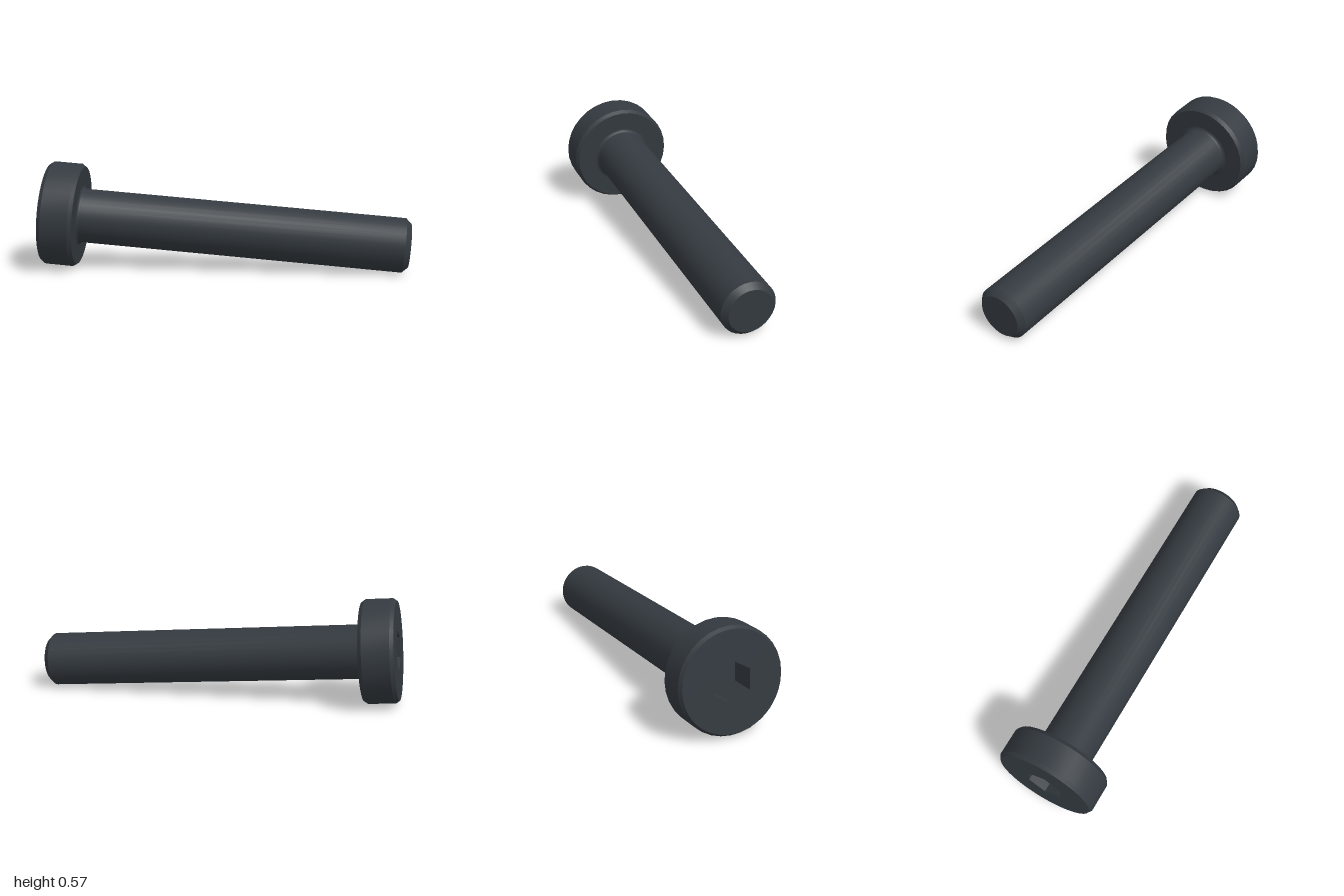
import * as THREE from 'three';
import { toCreasedNormals } from 'three/addons/utils/BufferGeometryUtils.js';

const SEGMENTS = 32;
const LENGTH = 1.963; // whole bolt, measured back from the tip at y = 0
const HEAD_FRONT = -LENGTH + 0.186;

export function createModel() {
  const steel = new THREE.MeshStandardMaterial({ color: 0x343a40 });
  steel.name = 'dark steel';

  const bolt = new THREE.Group();
  bolt.name = 'bolt';
  const add = (name, geometry) => {
    const mesh = new THREE.Mesh(geometry, steel);
    mesh.name = name;
    bolt.add(mesh);
    return mesh;
  };
  const turned = (profile) => toCreasedNormals(
    new THREE.LatheGeometry(profile.map(([r, y]) => new THREE.Vector2(r, y)), SEGMENTS), 0.5);

  // Head rim with a chamfer on both edges, and its underside
  add('head', turned([
    [0.266, -LENGTH], [0.28, -LENGTH + 0.02], [0.28, HEAD_FRONT - 0.02],
    [0.266, HEAD_FRONT], [0.14, HEAD_FRONT],
  ]));

  // Shank with a small fillet under the head and a chamfered tip
  const shank = [];
  for (let i = 0; i <= 4; i++) {
    const a = (i / 4) * Math.PI / 2;
    shank.push([0.164 - 0.018 * Math.sin(a), HEAD_FRONT + 0.018 * (1 - Math.cos(a))]);
  }
  shank.push([0.146, -0.03], [0.118, 0], [0, 0]);
  add('shank', turned(shank));

  // Drive face pierced by the hexagonal socket
  const face = new THREE.Shape().absarc(0, 0, 0.266, 0, Math.PI * 2);
  const hex = [];
  for (let i = 0; i < 6; i++) {
    const a = Math.PI / 2 - i * Math.PI / 3;
    hex.push(new THREE.Vector2(0.11 * Math.cos(a), 0.11 * Math.sin(a)));
  }
  face.holes.push(new THREE.Path(hex));
  const faceGeometry = new THREE.ExtrudeGeometry(face, {
    depth: 0.15, bevelEnabled: false, curveSegments: SEGMENTS,
  });
  faceGeometry.rotateX(-Math.PI / 2);
  add('driveFace', faceGeometry).position.y = -LENGTH;

  // Socket floor
  add('socketFloor', new THREE.CylinderGeometry(0.112, 0.112, 0.01, 6))
    .position.y = -LENGTH + 0.155;

  // Lay the bolt along its tilted axis, one socket corner pointing up
  const axis = new THREE.Vector3(0.9746, -0.0768, 0.2101).normalize();
  const up = new THREE.Vector3(0, 1, 0).addScaledVector(axis, -axis.y).normalize();
  const side = new THREE.Vector3().crossVectors(axis, up);
  bolt.quaternion.setFromRotationMatrix(new THREE.Matrix4().makeBasis(side, axis, up));
  bolt.position.set(0.974, 0.146, 0.271);

  const model = new THREE.Group();
  model.name = 'socketHeadBolt';
  model.add(bolt);
  return model;
}
